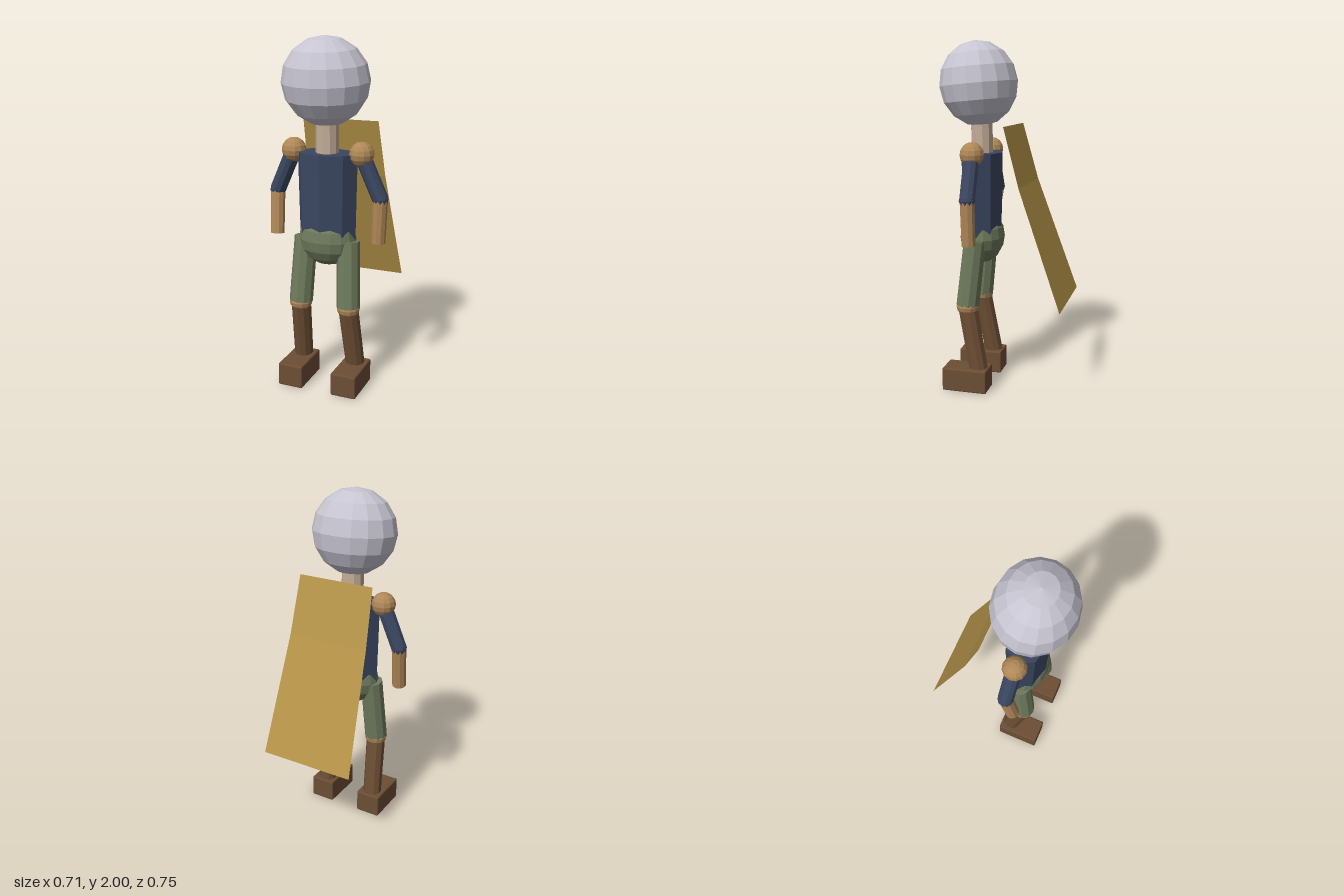
import * as THREE from 'three';
import { RoundedBoxGeometry } from 'three/addons/geometries/RoundedBoxGeometry.js';

const V = (x, y, z) => new THREE.Vector3(x, y, z);

function makeMaterial(name, color, side = THREE.FrontSide) {
  return new THREE.MeshStandardMaterial({ name, color, side, flatShading: true });
}

export function createModel() {
  const model = new THREE.Group();
  model.name = 'figure';
  const body = new THREE.Group();
  body.name = 'body';
  body.position.x = -0.005;
  model.add(body);

  const grey = makeMaterial('head grey', 0xc6c4d0);
  const pale = makeMaterial('neck skin', 0xc4ae9a);
  const tan = makeMaterial('tan skin', 0xb08858);
  const navy = makeMaterial('navy shirt', 0x3a4660);
  const green = makeMaterial('green trousers', 0x6e7a5c);
  const brown = makeMaterial('boot brown', 0x6c4e34);
  const gold = makeMaterial('gold cape', 0xb8964a, THREE.DoubleSide);

  const add = (name, geometry, material, parent = body) => {
    const mesh = new THREE.Mesh(geometry, material);
    mesh.name = name;
    parent.add(mesh);
    return mesh;
  };

  // Faceted ball stretched to the given radii
  const ball = (name, centre, radii, material, parent, w = 12, h = 8) => {
    const mesh = add(name, new THREE.SphereGeometry(1, w, h), material, parent);
    mesh.position.copy(centre);
    mesh.scale.copy(radii);
    return mesh;
  };

  // Tapered faceted cylinder between two points
  const limb = (name, top, bottom, rTop, rBottom, material, parent, sides = 10) => {
    const axis = top.clone().sub(bottom);
    const mesh = add(name, new THREE.CylinderGeometry(rTop, rBottom, axis.length(), sides), material, parent);
    mesh.position.copy(top).add(bottom).multiplyScalar(0.5);
    mesh.quaternion.setFromUnitVectors(V(0, 1, 0), axis.normalize());
    return mesh;
  };

  // Head, nodding slightly forward
  ball('head', V(0, 1.76, 0.153), V(0.245, 0.241, 0.222), grey, body, 16, 8).rotation.x = 0.09;
  limb('neck', V(0, 1.56, 0.138), V(0, 1.35, 0.135), 0.064, 0.064, pale);

  // Torso and hips
  const torso = limb('torso', V(0, 1.372, 0.135), V(0, 0.87, 0.135), 1, 0.94, navy, body, 8);
  torso.scale.set(0.179, 1, 0.12);
  ball('hips', V(0, 0.88, 0.135), V(0.17, 0.153, 0.126), green, body, 16, 8);

  for (const side of [1, -1]) {
    const label = side > 0 ? 'left' : 'right';

    // Arm: the right forearm swings a little forward
    const arm = new THREE.Group();
    arm.name = label + 'Arm';
    body.add(arm);
    const shoulder = V(side * 0.202, 1.375, 0.135);
    const elbow = V(side * 0.31, 1.135, 0.13);
    const hand = V(side * 0.3, 0.885, side > 0 ? 0.127 : 0.168);
    ball('shoulder', shoulder, V(0.069, 0.069, 0.069), tan, arm);
    limb('upperArm', shoulder, elbow, 0.045, 0.045, navy, arm);
    ball('elbow', elbow, V(0.045, 0.045, 0.045), navy, arm, 10, 6);
    limb('forearm', elbow, hand, 0.042, 0.04, tan, arm);

    // Leg
    const leg = new THREE.Group();
    leg.name = label + 'Leg';
    body.add(leg);
    const knee = V(side * 0.147, 0.5, 0.184);
    limb('thigh', V(side * 0.13, 0.88, 0.143), knee, 0.066, 0.068, green, leg);
    ball('knee', V(side * 0.148, 0.495, 0.183), V(0.067, 0.06, 0.067), tan, leg);
    limb('shin', V(side * 0.148, 0.48, 0.182), V(side * 0.166, 0.1, 0.111), 0.057, 0.055, brown, leg);
    const foot = add('foot', new RoundedBoxGeometry(0.15, 0.135, 0.262, 1, 0.008), brown, leg);
    foot.position.set(side * 0.165, 0.0675, 0.184);
  }

  // Cape: a flaring sheet with one crease
  const rows = [[0.23, 1.53, -0.05], [0.245, 1.2, -0.14], [0.283, 0.53, -0.38]];
  const capeShape = new THREE.PlaneGeometry(2, 1, 1, rows.length - 1);
  const p = capeShape.attributes.position;
  for (let i = 0; i < p.count; i++) {
    const [half, y, z] = rows[Math.floor(i / 2)];
    p.setXYZ(i, (i % 2 ? -1 : 1) * half, y, z);
  }
  capeShape.computeVertexNormals();
  add('cape', capeShape, gold);

  return model;
}
